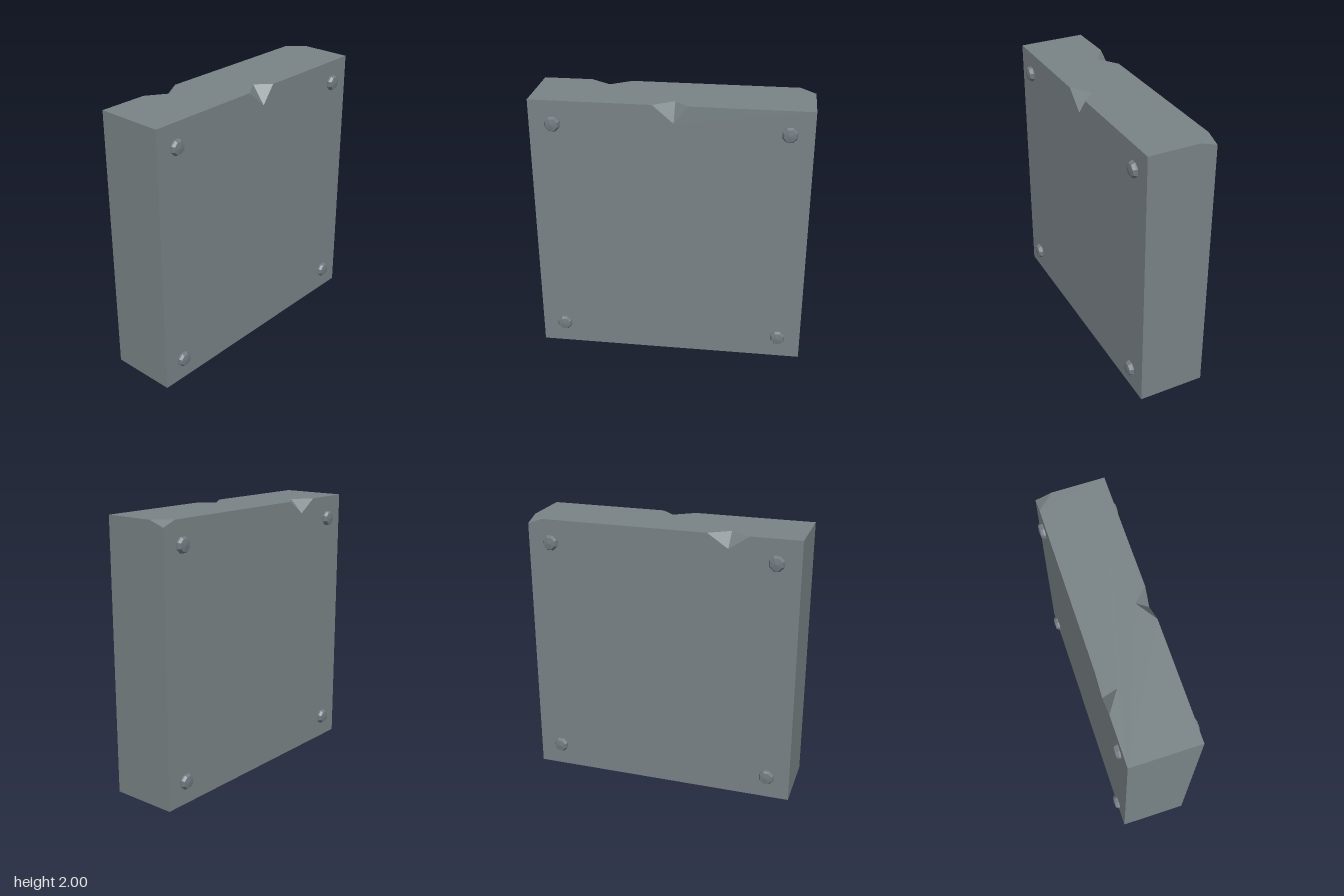
import * as THREE from 'three';

const W = 1, H = 2, D = 0.25; // half width, height, half depth

// Flat polygon faces, each wound to look along its outward direction
function polyGeometry(faces) {
  const pos = [];
  for (const { pts, out } of faces) {
    const v = pts.map(p => new THREE.Vector3(...p));
    const n = new THREE.Vector3(...out);
    const a = out.map(Math.abs);
    const drop = a.indexOf(Math.max(...a));
    const flat = pts.map(p => new THREE.Vector2(...p.filter((_, i) => i !== drop)));
    for (const [i, j, k] of THREE.ShapeUtils.triangulateShape(flat, [])) {
      const cross = v[j].clone().sub(v[i]).cross(v[k].clone().sub(v[i]));
      const order = cross.dot(n) > 0 ? [i, j, k] : [i, k, j];
      order.forEach(q => pos.push(...pts[q]));
    }
  }
  const g = new THREE.BufferGeometry();
  g.setAttribute('position', new THREE.Float32BufferAttribute(pos, 3));
  g.computeVertexNormals();
  return g;
}

// Triangular notch in a top edge: ends a and b, deepest point at x = c
function notch(a, b, c, depth, side) {
  const z = side * D;
  return { a: [a, H, z], b: [b, H, z], low: [c, H - depth, z], inner: [c, H, z - side * 0.1], side };
}

function createSlab(material) {
  const f = notch(-0.12, 0.13, 0.03, 0.13, 1);
  const r = notch(-0.64, -0.34, -0.49, 0.1, -1);
  // broken corner at the back
  const cx = [0.89, H, -D], cy = [W, 1.96, -D], cz = [W, H, -0.13];

  const faces = [
    { out: [0, 0, 1], pts: [[-W, 0, D], [W, 0, D], [W, H, D], f.b, f.low, f.a, [-W, H, D]] },
    { out: [0, 0, -1], pts: [[-W, 0, -D], [W, 0, -D], cy, cx, r.b, r.low, r.a, [-W, H, -D]] },
    { out: [0, 1, 0], pts: [[-W, H, D], f.a, f.inner, f.b, [W, H, D], cz, cx, r.b, r.inner, r.a, [-W, H, -D]] },
    { out: [0, -1, 0], pts: [[-W, 0, D], [W, 0, D], [W, 0, -D], [-W, 0, -D]] },
    { out: [1, 0, 0], pts: [[W, 0, D], [W, 0, -D], cy, cz, [W, H, D]] },
    { out: [-1, 0, 0], pts: [[-W, 0, D], [-W, 0, -D], [-W, H, -D], [-W, H, D]] },
    { out: [0.5, 1, 0.5], pts: [cx, cy, cz] },
  ];
  faces[6].out = [0.32, 0.9, -0.3];
  for (const n of [f, r]) {
    faces.push({ out: [0.6, 0.7, 0.9 * n.side], pts: [n.a, n.low, n.inner] });
    faces.push({ out: [-0.6, 0.7, 0.9 * n.side], pts: [n.b, n.low, n.inner] });
  }
  const slab = new THREE.Mesh(polyGeometry(faces), material);
  slab.name = 'chippedSlab';
  return slab;
}

// Low domed bolt head pointing along +z
function boltGeometry() {
  const profile = [[0.058, -0.01], [0.058, 0.012], [0.046, 0.031], [0, 0.037]]
    .map(p => new THREE.Vector2(...p));
  const g = new THREE.LatheGeometry(profile, 8, Math.PI / 8).toNonIndexed();
  g.rotateX(Math.PI / 2);
  g.computeVertexNormals();
  return g;
}

export function createModel() {
  const stone = new THREE.MeshStandardMaterial({ color: 0x798386 });
  stone.name = 'grey stone';
  const metal = new THREE.MeshStandardMaterial({ color: 0x727b81 });
  metal.name = 'bolt metal';
  stone.flatShading = metal.flatShading = true;

  const model = new THREE.Group();
  model.name = 'boltedSlab';
  model.add(createSlab(stone));

  // Four bolts on the front and four on the back
  const bolt = boltGeometry();
  for (const side of [1, -1]) {
    for (const x of [-0.83, 0.83]) {
      for (const y of [0.17, 1.83]) {
        const mesh = new THREE.Mesh(bolt, metal);
        mesh.name = side > 0 ? 'frontBolt' : 'backBolt';
        mesh.position.set(x, y, side * D);
        if (side < 0) mesh.rotation.y = Math.PI;
        model.add(mesh);
      }
    }
  }
  return model;
}
